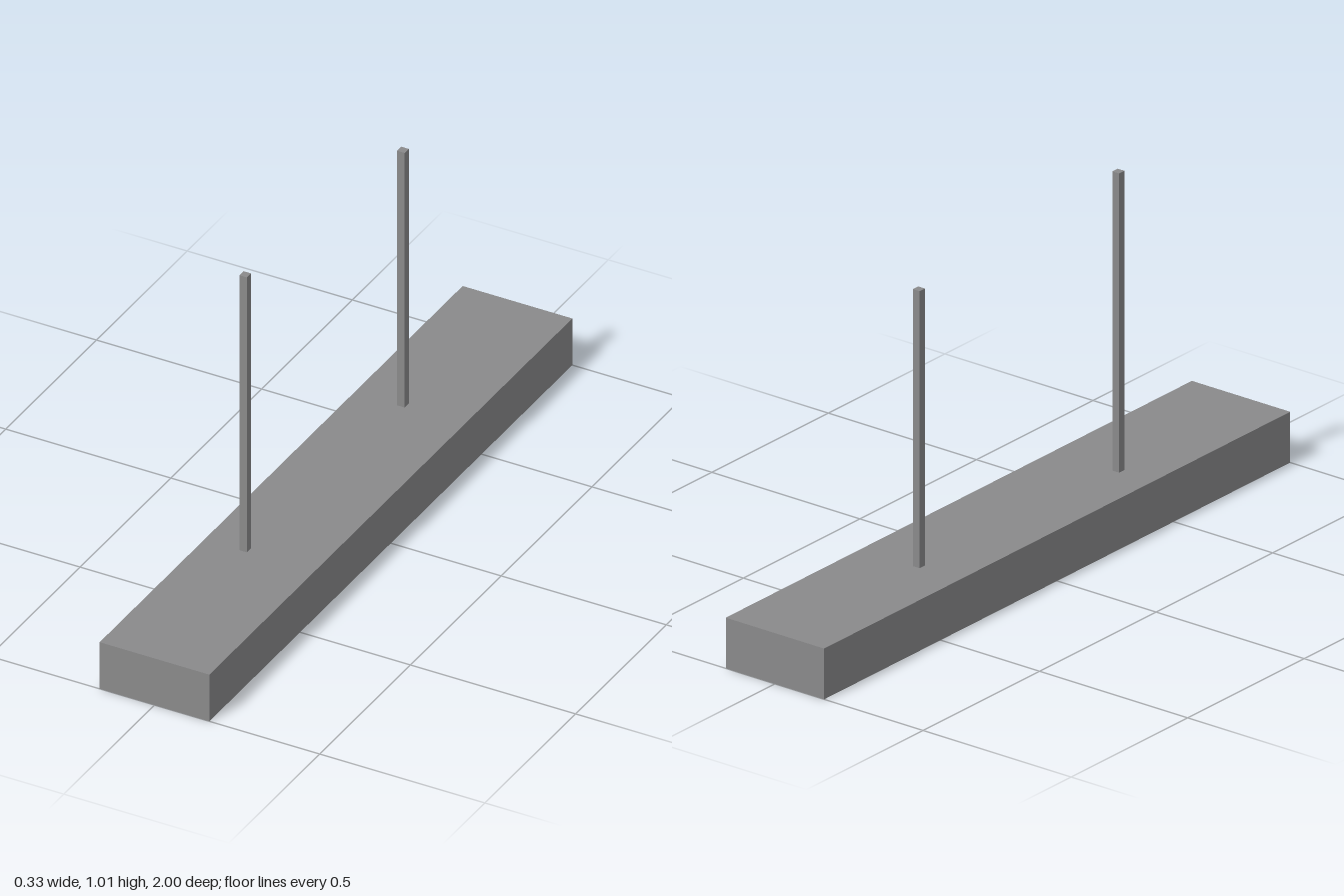
import * as THREE from 'three';

export function createModel() {
  const group = new THREE.Group();
  const grey = new THREE.MeshStandardMaterial({ color: 0x8a8a8b });
  grey.name = 'grey metal';
  const cream = new THREE.MeshStandardMaterial({ color: 0xe1c89f });
  cream.name = 'warm cream diffuser';

  const height = 0.147;

  // Long housing; its underside (group 3) is the light diffuser
  const housing = new THREE.Mesh(
    new THREE.BoxGeometry(0.332, height, 2),
    [grey, grey, grey, cream, grey, grey]
  );
  housing.name = 'housing';
  housing.position.y = height / 2;
  group.add(housing);

  // Square hanging rods: name, x, z, top height
  const rods = [
    ['frontRod', -0.048, 0.413, 1.013],
    ['backRod', -0.024, -0.413, 0.949],
  ];
  for (const [name, x, z, top] of rods) {
    const rod = new THREE.Mesh(new THREE.BoxGeometry(0.023, top - height, 0.023), grey);
    rod.name = name;
    rod.position.set(x, (top + height) / 2, z);
    group.add(rod);
  }
  return group;
}
